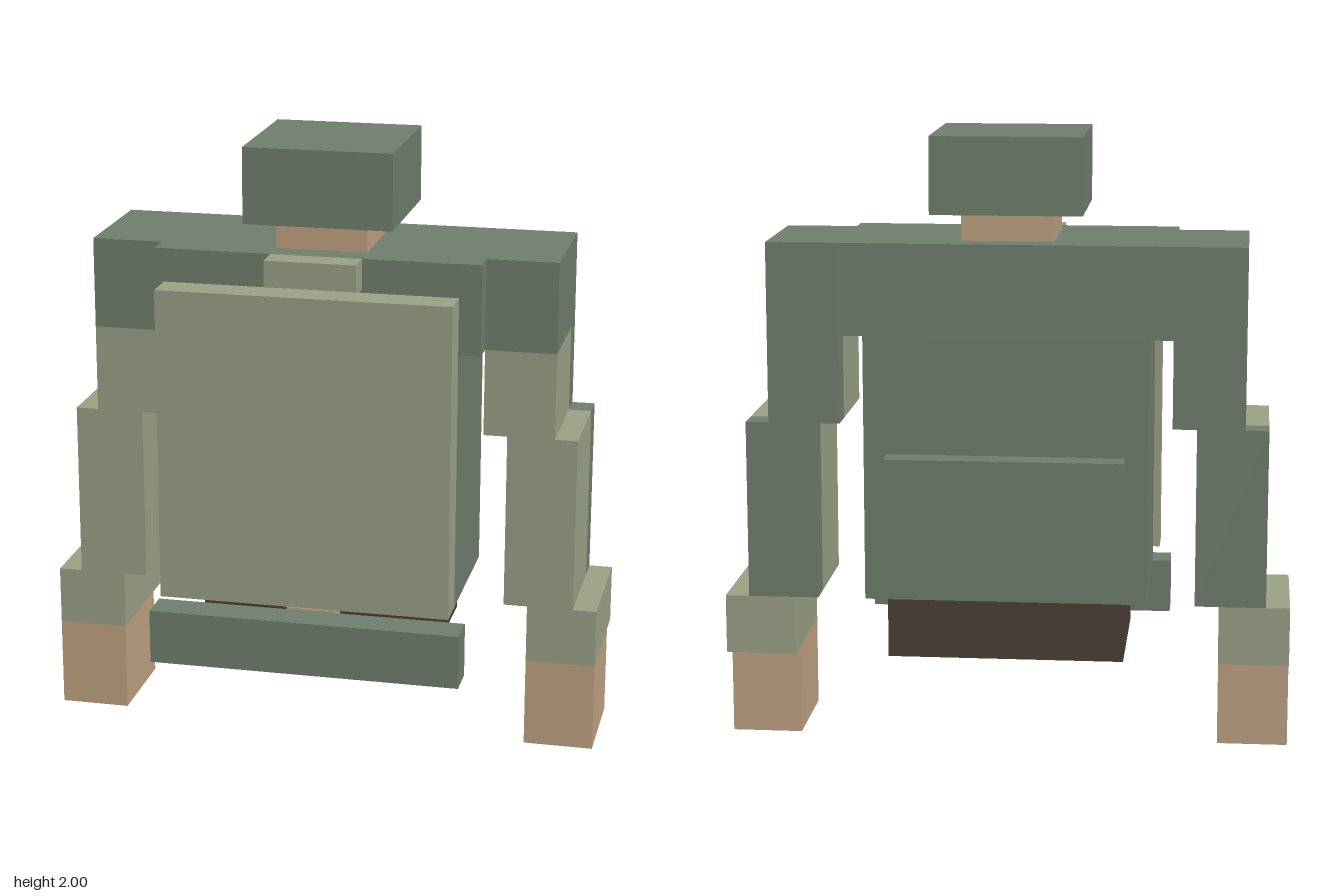
import * as THREE from 'three';

export function createModel() {
  const model = new THREE.Group();
  model.name = 'torsoFigure';

  const paint = (name, color) => {
    const m = new THREE.MeshStandardMaterial({ color });
    m.name = name;
    return m;
  };
  const darkGreen = paint('darkGreen', 0x70806d);
  const lightGreen = paint('lightGreen', 0x9ba387);
  const tan = paint('tan', 0xc2a484);
  const darkBrown = paint('darkBrown', 0x4c4035);

  // Box between two limits on each axis
  const block = (parent, name, mat, [x0, x1], [y0, y1], [z0, z1]) => {
    const mesh = new THREE.Mesh(new THREE.BoxGeometry(x1 - x0, y1 - y0, z1 - z0), mat);
    mesh.position.set((x0 + x1) / 2, (y0 + y1) / 2, (z0 + z1) / 2);
    mesh.name = name;
    parent.add(mesh);
  };
  const centred = (name, mat, half, y, z) => block(model, name, mat, [-half, half], y, z);

  // Head and neck
  centred('head', darkGreen, 0.245, [1.75, 2], [-0.3, 0.18]);
  centred('neck', tan, 0.15, [1.66, 1.75], [-0.23, 0.11]);

  // Body
  centred('chest', darkGreen, 0.537, [1.36, 1.66], [-0.32, 0.195]);
  centred('torso', darkGreen, 0.46, [0.49, 1.36], [-0.32, 0.195]);
  centred('hips', darkBrown, 0.385, [0.297, 0.49], [-0.32, 0.195]);
  centred('backBar', darkGreen, 0.385, [0.88, 0.975], [-0.405, -0.32]);

  // Front panel, its collar tab, lower bar and spacers
  centred('frontPanel', lightGreen, 0.48, [0.535, 1.573], [0.285, 0.397]);
  centred('collarTab', lightGreen, 0.15, [1.56, 1.66], [0.195, 0.285]);
  centred('lowerBar', darkGreen, 0.517, [0.302, 0.483], [0.29, 0.405]);
  for (const y of [0.69, 0.98, 1.27]) centred('spacer', tan, 0.08, [y, y + 0.097], [0.195, 0.285]);
  centred('lowerSpacer', tan, 0.08, [0.297, 0.49], [0.195, 0.29]);

  // Arms, stepping outward toward the hands
  for (const side of [1, -1]) {
    const arm = new THREE.Group();
    arm.name = side > 0 ? 'leftArm' : 'rightArm';
    const part = (name, mat, x0, x1, y, z) =>
      block(arm, name, mat, side > 0 ? [x0, x1] : [-x1, -x0], y, z);
    const front = [-0.23, 0.11], back = [-0.32, -0.23], full = [-0.32, 0.11];
    part('shoulder', darkGreen, 0.537, 0.77, [1.36, 1.66], full);
    part('upperArm', lightGreen, 0.537, 0.77, [1.073, 1.36], front);
    part('upperArmBack', darkGreen, 0.537, 0.77, [1.073, 1.36], back);
    part('forearm', lightGreen, 0.615, 0.845, [0.49, 1.073], front);
    part('forearmBack', darkGreen, 0.615, 0.845, [0.49, 1.073], back);
    part('cuff', lightGreen, 0.693, 0.923, [0.297, 0.49], full);
    part('hand', tan, 0.693, 0.923, [0, 0.297], front);
    model.add(arm);
  }

  return model;
}
